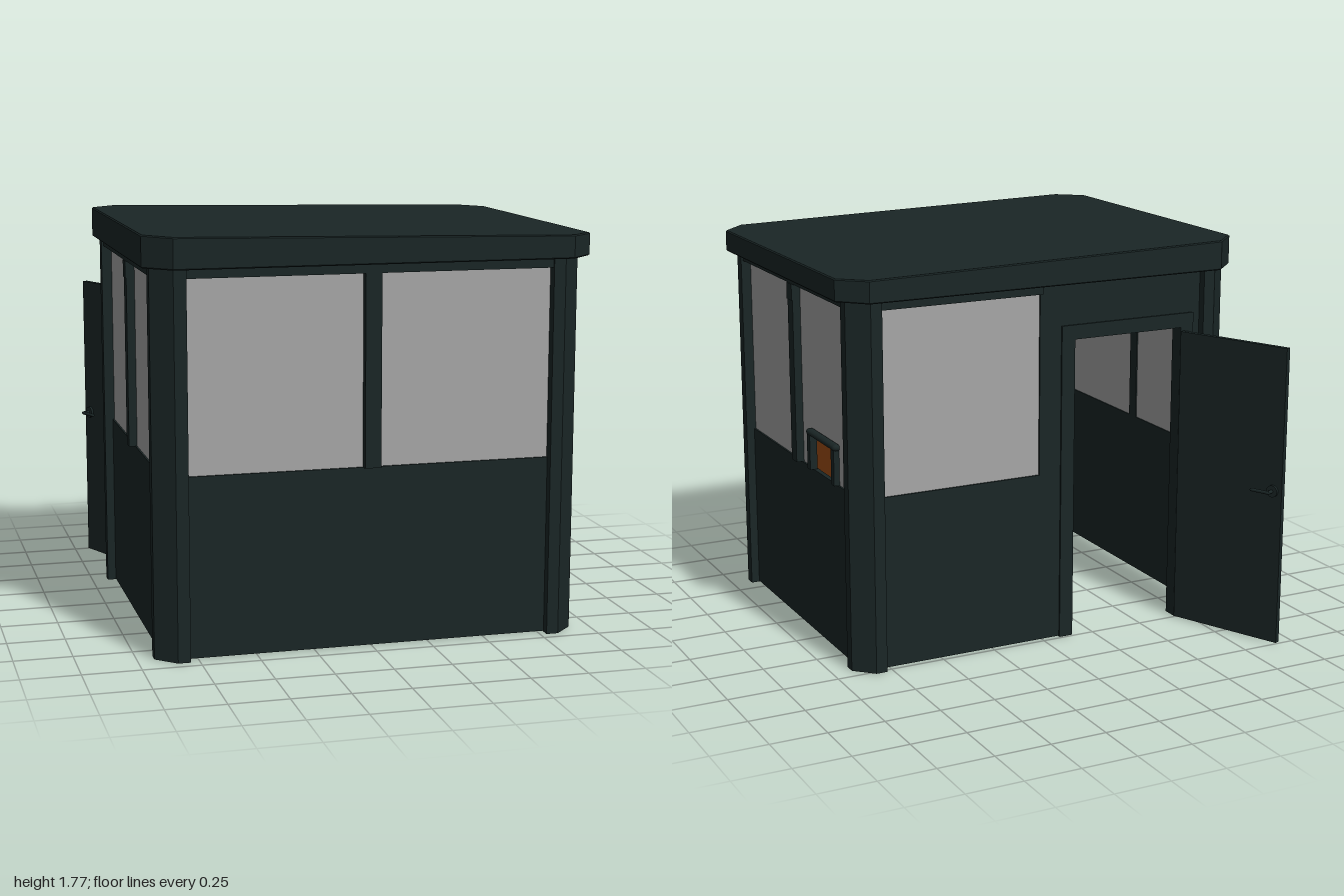
import * as THREE from 'three';

export function createModel() {
  const model = new THREE.Group();
  const paint = new THREE.MeshStandardMaterial({ color: 0x1a2626 });
  paint.name = 'dark green paint';
  const glass = new THREE.MeshStandardMaterial({ color: 0xa6a6a6 });
  glass.name = 'grey glass';
  const wood = new THREE.MeshStandardMaterial({ color: 0x542606 });
  wood.name = 'brown wood';

  const add = (name, geometry, material = paint, parent = model) => {
    const mesh = new THREE.Mesh(geometry, material);
    mesh.name = name;
    parent.add(mesh);
    return mesh;
  };
  // Box given by its lower and upper limits on each axis
  const box = (name, [x0, x1], [y0, y1], [z0, z1], material = paint, parent = model) =>
    add(name, new THREE.BoxGeometry(x1 - x0, y1 - y0, z1 - z0)
      .translate((x0 + x1) / 2, (y0 + y1) / 2, (z0 + z1) / 2), material, parent);
  // Vertical prism from a plan outline of [x, z] points, with an optional edge bevel
  const prism = (points, y0, y1, bevel = 0) => {
    const shape = new THREE.Shape(points.map(([x, z]) => new THREE.Vector2(x, -z)));
    return new THREE.ExtrudeGeometry(shape, {
      depth: y1 - y0 - 2 * bevel, bevelEnabled: bevel > 0, bevelSegments: 1,
      bevelSize: bevel, bevelThickness: bevel, bevelOffset: -bevel,
    }).rotateX(-Math.PI / 2).translate(0, y0 + bevel, 0);
  };

  const base = 0.024, sill = 0.797, head = 1.614, eaves = 1.665;
  const left = 0.902, right = -0.918, front = 0.945, back = -0.51;
  const t = 0.05, recess = 0.028;   // rail depth, and setback of the wall panels

  // Chamfered corner posts, flush with the walls inside
  const corner = [[0.13, 0], [0.08, 0], [0, 0.08], [0, 0.13], [0.06, 0.13], [0.06, 0.06], [0.13, 0.06]];
  for (const [x, sx] of [[0.912, -1.03], [-0.928, 1.07]]) {
    for (const [z, sz] of [[0.955, -1], [-0.52, 1]]) {
      add('cornerPost', prism(corner.map(([a, b]) => [x + sx * a, z + sz * b]), base - 0.004, eaves));
    }
  }

  // Front wall with two windows
  const fz = [front - t, front];
  box('frontLowerWall', [-0.8, 0.79], [base, sill], [front - t, front - recess]);
  box('frontTopRail', [-0.8, 0.79], [head, eaves], fz);
  box('frontMullion', [-0.04, 0.03], [sill, head], fz);
  const paneZ = [front - 0.044, front - 0.036];
  box('frontWindow', [-0.79, -0.04], [sill, head], paneZ, glass);
  box('frontWindow', [0.03, 0.78], [sill, head], paneZ, glass);

  // Side walls with two windows each; the left rear pane has a service hatch
  for (const [x, s, side] of [[left, -1, 'left'], [right, 1, 'right']]) {
    const span = (a, b) => [Math.min(x + s * a, x + s * b), Math.max(x + s * a, x + s * b)];
    const wx = span(0, t), px = span(0.036, 0.044);
    box(side + 'LowerWall', span(recess, t), [base, sill], [-0.4, 0.84]);
    box(side + 'TopRail', wx, [head, eaves], [-0.4, 0.84]);
    box(side + 'Mullion', wx, [sill, head], [0.19, 0.25]);
    box(side + 'MullionBracket', span(-0.004, t + 0.008), [1.54, head], [0.19, 0.25]);
    box(side + 'Window', px, [sill, head], [0.25, 0.83], glass);
    if (side === 'right') {
      box('rightWindow', px, [sill, head], [-0.39, 0.19], glass);
    } else {
      box('leftWindow', px, [0.96, head], [-0.39, 0.19], glass);
      box('leftWindow', px, [sill, 0.96], [-0.39, -0.22], glass);
      box('leftWindow', px, [sill, 0.96], [0.07, 0.19], glass);
    }
  }

  // Service hatch frame with a rounded top bar
  for (const z of [-0.215, 0.065]) {
    box('hatchPost', [0.858, 0.892], [sill, 0.96], [z - 0.017, z + 0.017]);
  }
  add('hatchTopBar', new THREE.CapsuleGeometry(0.016, 0.3, 4, 10)
    .rotateX(Math.PI / 2).scale(1.3, 1, 1).translate(0.877, 0.967, -0.075));

  // Back wall with one window and a doorway
  const bz = [back + recess, back + t];
  box('backLowerWall', [-0.09, 0.79], [base, sill], bz);
  box('backTopRail', [0.02, 0.79], [head, eaves], [back, back + t]);
  box('backDoorPost', [-0.09, 0.02], [sill, eaves], bz);
  box('doorHeader', [-0.8, -0.09], [1.45, eaves], bz);
  box('headerRail', [-0.8, 0.02], [1.645, eaves], [back, back + t]);
  box('doorSidePanel', [-0.8, -0.75], [base, 1.45], bz);
  box('backWindow', [0.02, 0.79], [sill, head], [back + 0.036, back + 0.044], glass);

  // Door frame
  const dz = [back + recess - 0.008, back + 0.09];
  box('doorJamb', [-0.15, -0.085], [base - 0.004, 1.46], dz);
  box('doorJamb', [-0.755, -0.69], [base - 0.004, 1.46], dz);
  box('doorFrameTop', [-0.69, -0.15], [1.395, 1.46], dz);

  // Open door, hinged at the right jamb
  const door = new THREE.Group();
  door.name = 'door';
  door.position.set(-0.708, 0, -0.522);
  door.rotation.y = Math.atan2(0.91, -0.414);
  model.add(door);
  box('doorLeaf', [-0.03, 0.52], [base, 1.38], [-0.012, 0.012], paint, door);
  for (const s of [-1, 1]) {
    add('handleRose', new THREE.CylinderGeometry(0.027, 0.027, 0.012, 16)
      .rotateX(Math.PI / 2).translate(0.475, 0.73, s * 0.017), paint, door);
    add('handleStem', new THREE.CylinderGeometry(0.008, 0.008, 0.045, 8)
      .rotateX(Math.PI / 2).translate(0.475, 0.73, s * 0.033), paint, door);
    add('handleLever', new THREE.CapsuleGeometry(0.008, 0.085, 4, 8)
      .rotateZ(Math.PI / 2).translate(0.433, 0.73, s * 0.053), paint, door);
  }

  // Desk along the left wall
  box('desk', [0.41, left - t], [0.66, 0.69], [-0.44, front - t], wood);

  // Overhanging roof with cut corners, its top falling towards the left
  const c = 0.11, X = 0.96, Z0 = -0.56, Z1 = 1;
  const roof = prism([[-X, Z0 + c], [-X + c, Z0], [X - c, Z0], [X, Z0 + c],
    [X, Z1 - c], [X - c, Z1], [-X + c, Z1], [-X, Z1 - c]], 1.655, 1.771, 0.005);
  const p = roof.attributes.position;
  for (let i = 0; i < p.count; i++) {
    if (p.getY(i) > 1.7) p.setY(i, p.getY(i) - 0.019 * p.getX(i));
  }
  roof.computeVertexNormals();
  add('roof', roof);

  return model;
}
